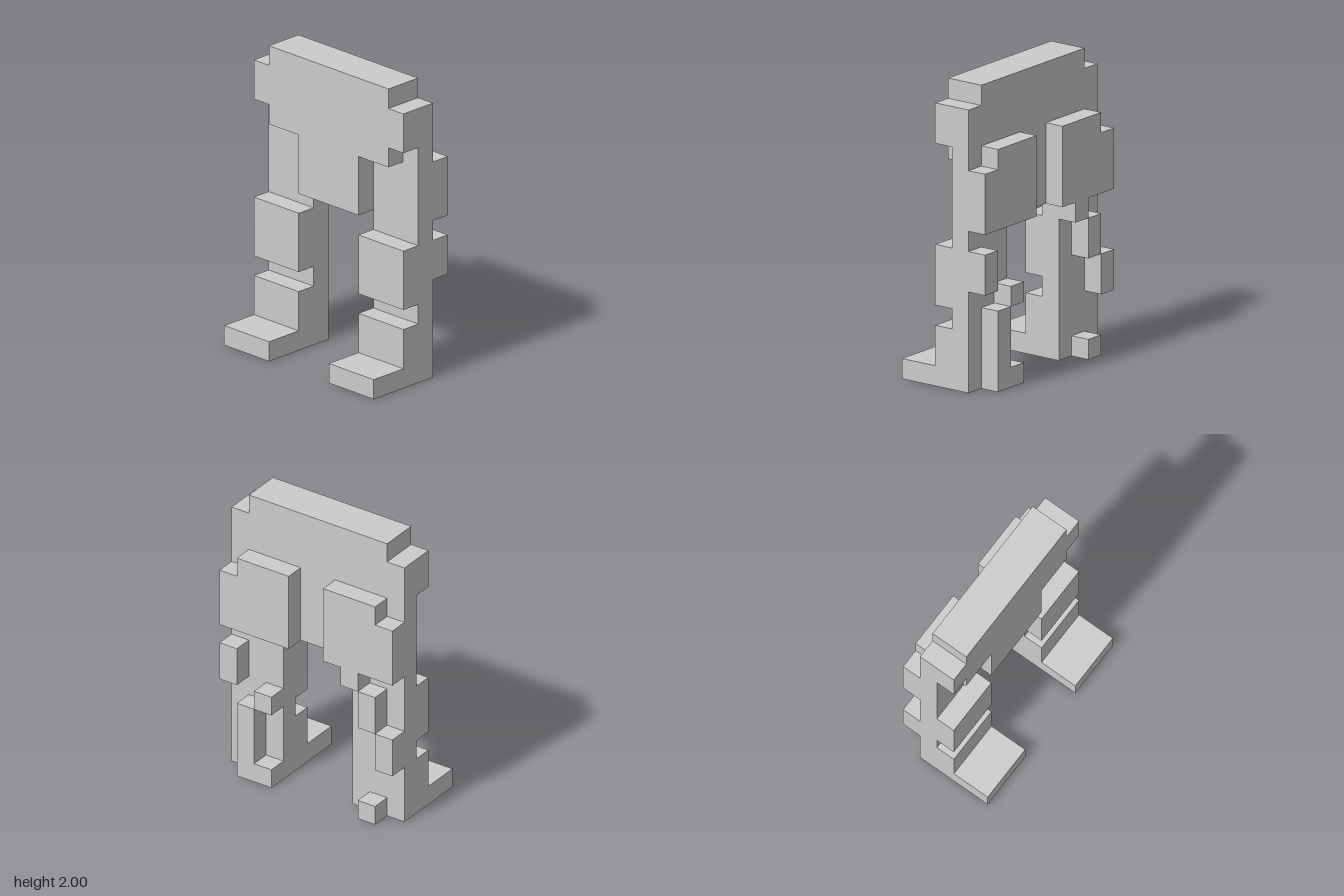
import * as THREE from 'three';

const U = 2 / 15; // one block; all numbers below are in blocks
const material = new THREE.MeshStandardMaterial({ color: 0xcccccc, flatShading: true });

// Outline given as [a, b] corners, extruded by depth
function extrude(points, depth) {
  const shape = new THREE.Shape(points.map(([a, b]) => new THREE.Vector2(a, b)));
  return new THREE.ExtrudeGeometry(shape, { depth, bevelEnabled: false });
}

// Outline of the right half mirrored to a full symmetric outline
const mirrored = (half) => [...half, ...half.map(([x, y]) => [-x, y]).reverse()];

function block(x0, x1, y0, y1, z0, z1) {
  return new THREE.BoxGeometry(x1 - x0, y1 - y0, z1 - z0)
    .translate((x0 + x1) / 2, (y0 + y1) / 2, (z0 + z1) / 2);
}

export function createModel() {
  const model = new THREE.Group();
  model.name = 'blockLegs';
  const add = (name, geometry) => {
    const mesh = new THREE.Mesh(geometry.scale(U, U, U), material);
    mesh.name = name;
    model.add(mesh);
  };

  // Torso: full back plate and a T-shaped front plate
  const backHalf = [[5, 8], [5, 14], [4, 14], [4, 15]];
  const frontHalf = [[2, 8], [2, 11], [4, 11], [4, 12], [5, 12], [5, 14], [4, 14], [4, 15]];
  add('torsoBack', extrude(mirrored(backHalf), 1).translate(0, 0, -1.5));
  add('torsoFront', extrude(mirrored(frontHalf), 1).translate(0, 0, -0.5));

  // Leg side profile (z, y): foot, shin guard and thigh guard
  const legProfile = [
    [-1.5, 0], [2.5, 0], [2.5, 1], [0.5, 1], [0.5, 3], [-0.5, 3], [-0.5, 4],
    [0.5, 4], [0.5, 7], [-0.5, 7], [-0.5, 8], [-1.5, 8],
  ];
  // Hip pad on the back (x, y)
  const padOutline = [[1, 8], [5, 8], [5, 11], [4, 11], [4, 12], [1, 12]];

  for (const [side, s] of [['left', 1], ['right', -1]]) {
    add(side + 'Leg', extrude(legProfile, 3).rotateY(-Math.PI / 2).translate(s > 0 ? 5 : -2, 0, 0));
    add(side + 'BackPad', extrude(padOutline.map(([x, y]) => [s * x, y]), 1).translate(0, 0, -2.5));
  }

  // Loose blocks behind the legs: x range, y range
  const leftBlocks = [[4, 5, 5, 7], [2, 3, 4, 5], [3, 4, 0, 4], [2, 3, 0, 1]];
  const rightBlocks = [[-3, -2, 7, 8], [-4, -3, 5, 7], [-5, -4, 3, 5], [-4, -3, 0, 1]];
  leftBlocks.forEach((b, i) => add('leftCalfBlock' + (i + 1), block(...b, -2.5, -1.5)));
  rightBlocks.forEach((b, i) => add('rightCalfBlock' + (i + 1), block(...b, -2.5, -1.5)));

  return model;
}
